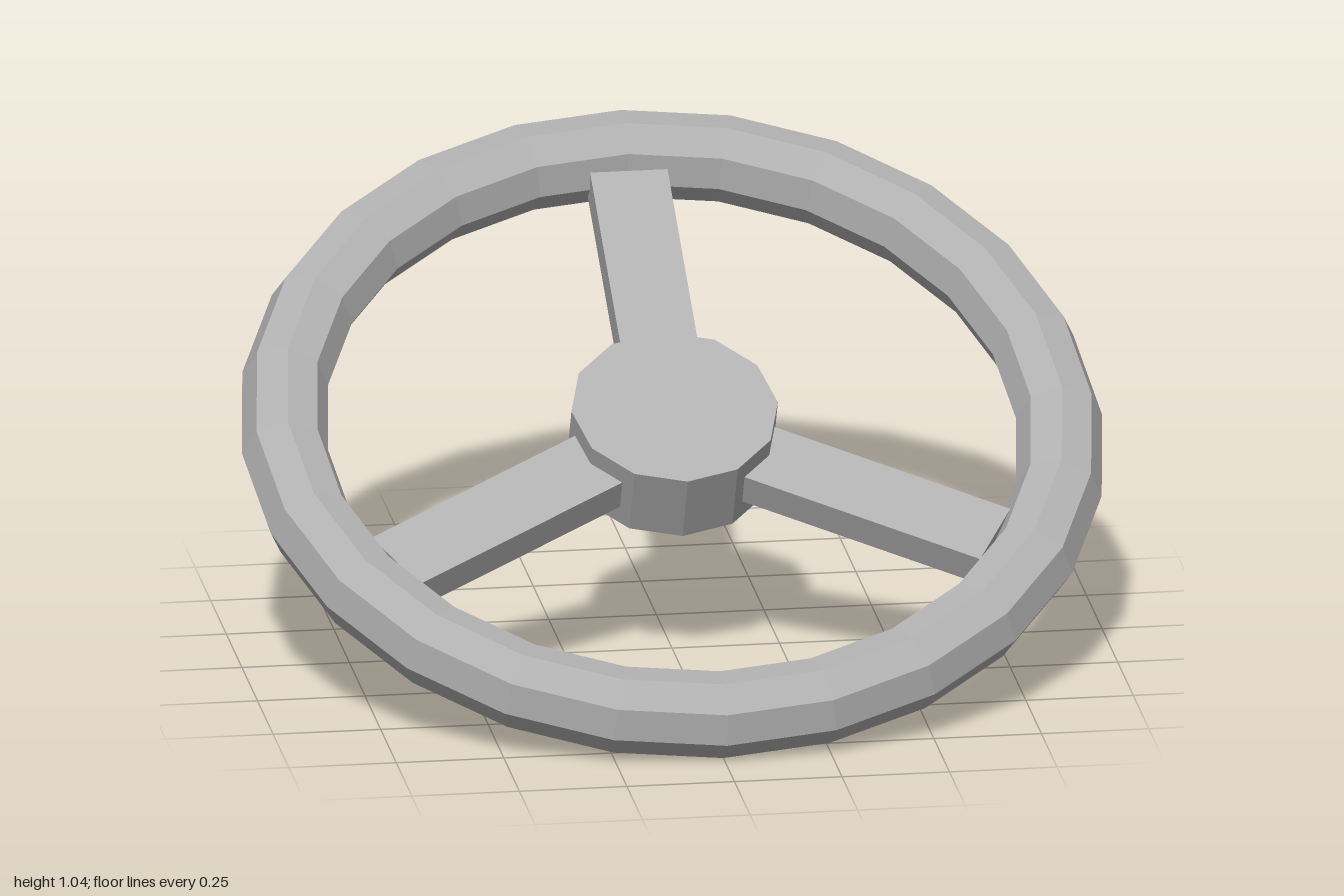
import * as THREE from 'three';

const TILT = THREE.MathUtils.degToRad(28);

export function createModel() {
  const grey = new THREE.MeshStandardMaterial({ color: 0xb0b0b0, flatShading: true });
  grey.name = 'grey';

  // The wheel lies flat around y, then leans towards the front
  const wheel = new THREE.Group();
  wheel.name = 'steeringWheel';

  const add = (name, geometry) => {
    const mesh = new THREE.Mesh(geometry, grey);
    mesh.name = name;
    wheel.add(mesh);
    return mesh;
  };

  // Rim: octagonal section, 24 segments
  add('rim', new THREE.TorusGeometry(0.9, 0.1, 8, 24).rotateX(-Math.PI / 2));

  // Hub: twelve-sided disc
  add('hub', new THREE.CylinderGeometry(0.24, 0.24, 0.18, 12));

  // Three flat spokes, the first pointing to the back
  const inner = 0.1, outer = 0.805;
  for (let i = 0; i < 3; i++) {
    const bar = new THREE.BoxGeometry(0.18, 0.08, outer - inner);
    bar.translate(0, 0, -(inner + outer) / 2);
    add('spoke' + (i + 1), bar).rotation.y = (i * Math.PI * 2) / 3;
  }

  wheel.rotation.x = TILT;
  wheel.position.y = 0.518;

  const model = new THREE.Group();
  model.name = 'model';
  model.add(wheel);
  return model;
}
